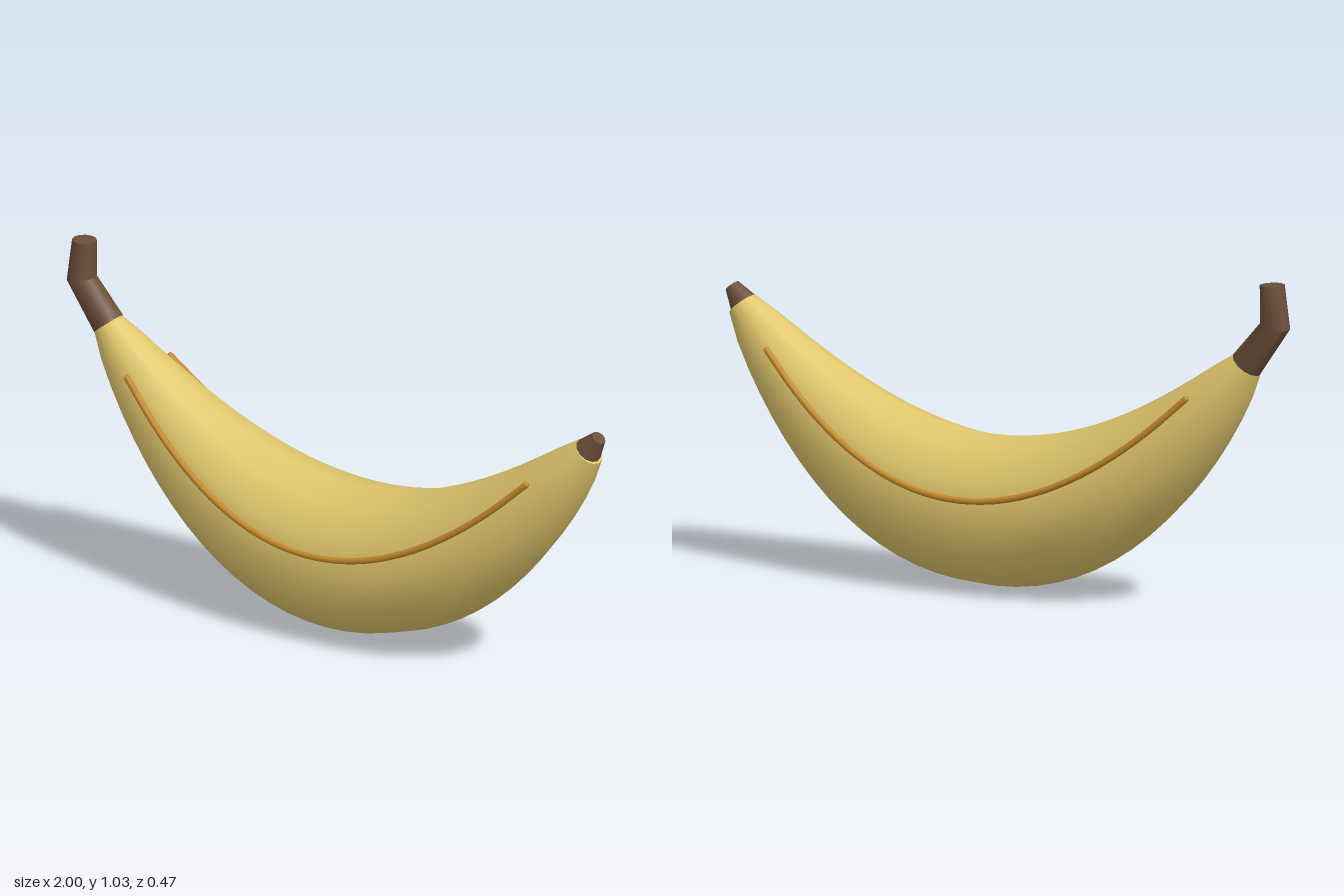
import * as THREE from 'three';
import { toCreasedNormals } from 'three/addons/utils/BufferGeometryUtils.js';

const SIDES = 12;

// Lofts capped round sections lying in the xy plane: { x, y, tx, ty (direction), r }
function loft(sections, crease) {
  const pos = [], index = [];
  for (const s of sections) {
    const len = Math.hypot(s.tx, s.ty), nx = -s.ty / len, ny = s.tx / len;
    for (let j = 0; j < SIDES; j++) {
      const a = (j / SIDES) * Math.PI * 2, c = Math.cos(a) * s.r;
      pos.push(s.x + nx * c, s.y + ny * c, Math.sin(a) * s.r);
    }
  }
  const last = (sections.length - 1) * SIDES;
  for (let i = 0; i < last; i += SIDES) {
    for (let j = 0; j < SIDES; j++) {
      const k = (j + 1) % SIDES;
      index.push(i + j, i + k, i + SIDES + j, i + k, i + SIDES + k, i + SIDES + j);
    }
  }
  for (let j = 1; j < SIDES - 1; j++) {
    index.push(0, j + 1, j, last, last + j, last + j + 1);
  }
  const g = new THREE.BufferGeometry();
  g.setAttribute('position', new THREE.Float32BufferAttribute(pos, 3));
  g.setIndex(index);
  return toCreasedNormals(g, crease);
}

export function createModel() {
  const group = new THREE.Group();
  const material = (name, color) => {
    const m = new THREE.MeshStandardMaterial({ color });
    m.name = name;
    return m;
  };
  const peel = material('yellow peel', 0xe0c66c);
  const bark = material('brown stem', 0x6b4f3a);
  const amber = material('amber seam', 0xc68a2c);
  const add = (name, geometry, mat) => {
    const mesh = new THREE.Mesh(geometry, mat);
    mesh.name = name;
    group.add(mesh);
  };

  // Curved body, swelling in the middle
  const MID = 0.04, HALF = 0.9, BEND = 0.675, STEPS = 32;
  const body = [];
  for (let i = 0; i <= STEPS; i++) {
    const t = i / STEPS, u = (2 * t - 1) * HALF;
    const swell = Math.pow(Math.max(0, Math.sin(Math.PI * t)), 0.8);
    body.push({ x: MID + u, y: 0.24 + BEND * u * u, tx: 1, ty: 2 * BEND * u, r: 0.048 + 0.187 * swell });
  }
  add('body', loft(body, 0.8), peel);

  // Bent stem
  add('stem', loft([
    { x: -0.855, y: 0.783, tx: -0.635, ty: 0.772, r: 0.052 },
    { x: -0.955, y: 0.91, tx: -0.217, ty: 0.976, r: 0.047 },
    { x: -0.945, y: 1.037, tx: 0.03, ty: 1, r: 0.038 },
  ], 0.65), bark);

  // Short blossom tip
  add('tip', loft([
    { x: 0.935, y: 0.786, tx: 0.635, ty: 0.772, r: 0.045 },
    { x: 0.977, y: 0.839, tx: 0.635, ty: 0.772, r: 0.023 },
  ], 0.65), bark);

  // Raised seam along each flank
  for (const side of [1, -1]) {
    const points = [];
    for (let i = 0; i <= 12; i++) {
      const u = (i / 6 - 1) * 0.745;
      points.push(new THREE.Vector3(MID + u, 0.305 + 0.67 * u * u, side * (0.218 - 0.19 * u * u)));
    }
    const curve = new THREE.CatmullRomCurve3(points);
    const name = side > 0 ? 'frontSeam' : 'backSeam';
    add(name, new THREE.TubeGeometry(curve, 40, 0.01, 8), amber);
    // Rounded seam ends
    for (const end of [points[0], points[12]]) {
      add(name + 'End', new THREE.SphereGeometry(0.01, 8, 6).translate(end.x, end.y, end.z), amber);
    }
  }
  return group;
}
